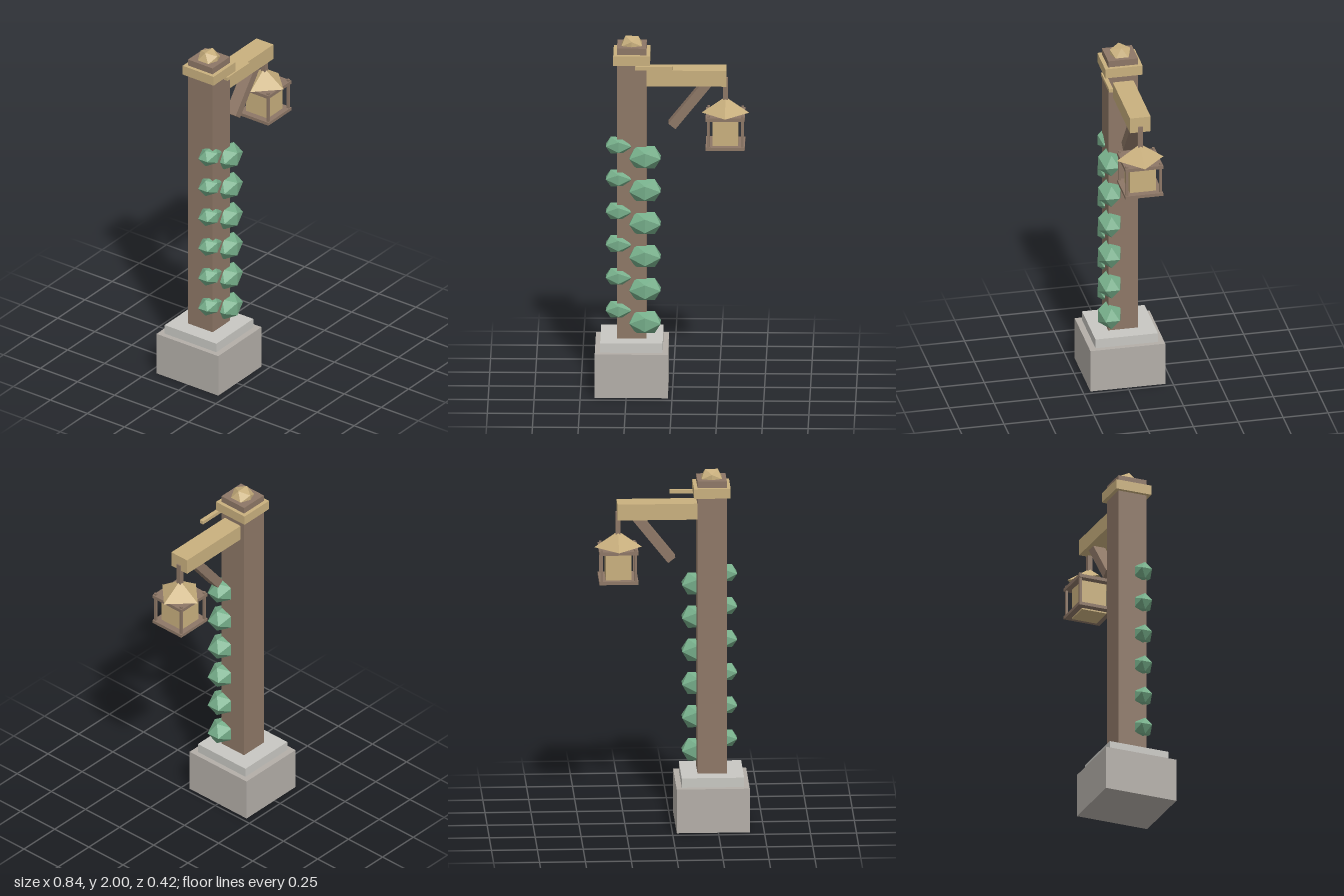
import * as THREE from 'three';

const mat = (name, color) => {
  const m = new THREE.MeshStandardMaterial({ color, flatShading: true });
  m.name = name;
  return m;
};

export function createModel() {
  const darkWood = mat('dark wood', 0x8d7766);
  const paleWood = mat('pale wood', 0xc9b07e);
  const leaf = mat('leaf green', 0x76ae8a);
  const stone = mat('stone', 0xb3aea8);
  const paleStone = mat('pale stone', 0xc8c7c2);

  const model = new THREE.Group();
  model.name = 'lanternPost';

  const add = (name, geometry, material, x, y, z, parent = model) => {
    const mesh = new THREE.Mesh(geometry, material);
    mesh.name = name;
    mesh.position.set(x, y, z);
    parent.add(mesh);
    return mesh;
  };
  // Box given by its width, depth, bottom and top
  const box = (name, material, x, z, w, d, y0, y1, parent) =>
    add(name, new THREE.BoxGeometry(w, y1 - y0, d), material, x, (y0 + y1) / 2, z, parent);
  // Stretched icosahedron
  const gem = (name, material, x, y, z, rx, ry, rz, parent) =>
    add(name, new THREE.IcosahedronGeometry(1, 0).scale(rx, ry, rz), material, x, y, z, parent);

  // Stone footing and post
  const px = -0.222;
  box('footing', stone, px, 0, 0.398, 0.417, 0, 0.247);
  box('footingStep', paleStone, px, 0, 0.34, 0.348, 0.247, 0.3);
  box('post', darkWood, px, 0, 0.16, 0.166, 0.3, 1.952);
  box('collar', paleWood, px, 0, 0.2, 0.208, 1.86, 1.915);
  gem('finial', paleWood, px, 1.95, 0, 0.0664, 0.0588, 0.067);

  // Arm, its brace and the thin slat in front of the collar
  box('arm', paleWood, 0.065, 0, 0.456, 0.115, 1.73, 1.82);
  box('slat', paleWood, -0.1, 0.099, 0.204, 0.023, 1.837, 1.857);
  const brace = add('brace', new THREE.BoxGeometry(0.36, 0.05, 0.07), darkWood, 0.108, 1.636, 0);
  brace.rotation.z = 0.9;

  // Hanging lantern
  const lantern = new THREE.Group();
  lantern.name = 'lantern';
  lantern.position.x = 0.287;
  model.add(lantern);
  box('hanger', darkWood, 0, 0, 0.027, 0.027, 1.64, 1.765, lantern);
  add('roof', new THREE.ConeGeometry(0.13, 0.09, 4), paleWood, 0, 1.61, 0, lantern);
  box('topPlate', darkWood, 0, 0, 0.213, 0.211, 1.545, 1.564, lantern);
  box('bottomPlate', darkWood, 0, 0, 0.213, 0.211, 1.379, 1.397, lantern);
  box('lightBox', paleWood, 0, 0, 0.14, 0.146, 1.371, 1.546, lantern);
  for (const sx of [-1, 1]) for (const sz of [-1, 1])
    box('cornerRod', darkWood, sx * 0.093, sz * 0.094, 0.013, 0.014, 1.38, 1.575, lantern);

  // Climbing leaves in two staggered columns
  const vine = new THREE.Group();
  vine.name = 'vine';
  model.add(vine);
  for (let i = 0; i < 6; i++) {
    gem('largeLeaf', leaf, -0.149, 0.393 + i * 0.1877, 0.075, 0.1, 0.074, 0.074, vine);
    gem('smallLeaf', leaf, -0.294, 0.46 + i * 0.187, 0.06, 0.081, 0.056, 0.057, vine);
  }
  return model;
}
